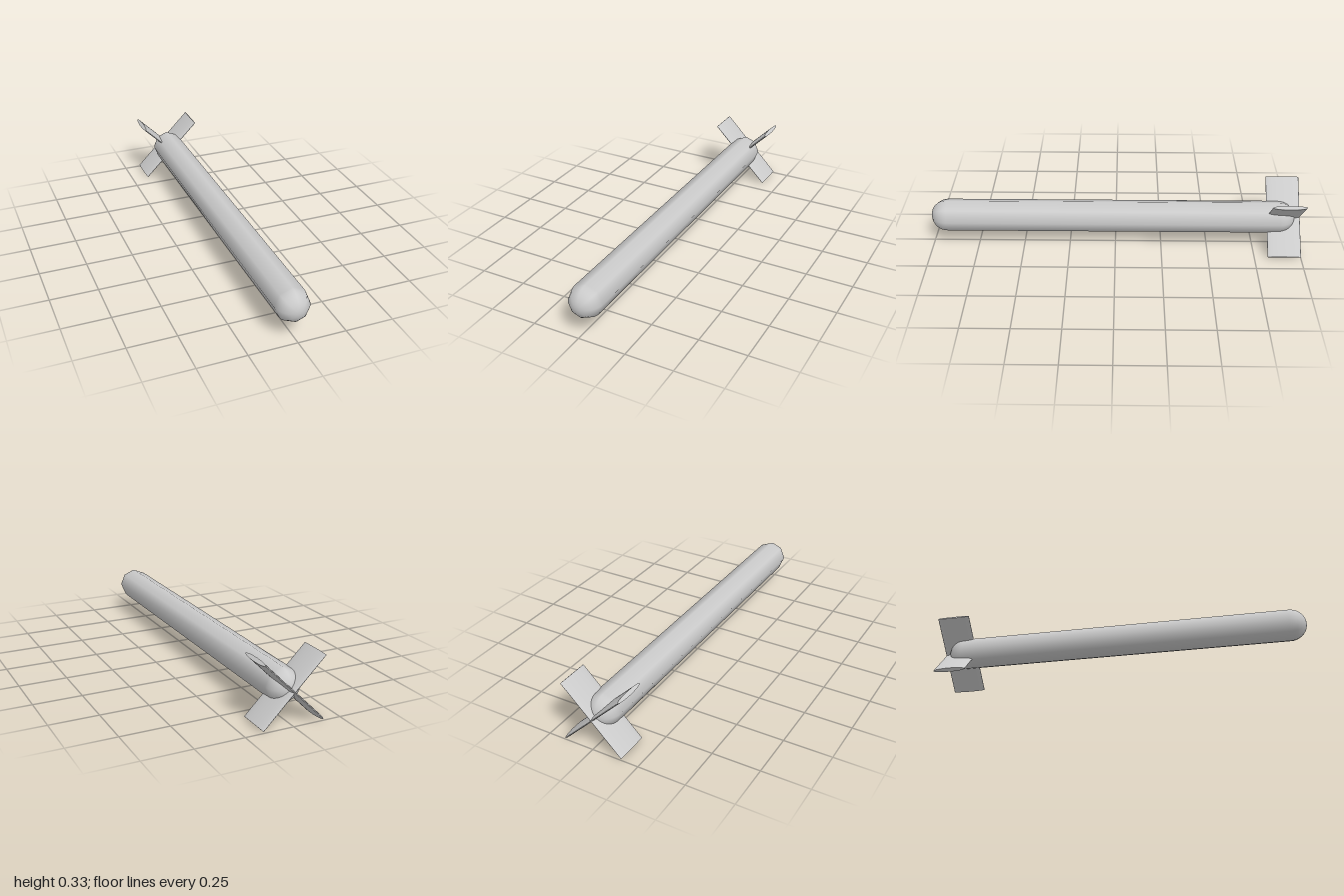
import * as THREE from 'three';

const AXIS_Y = 0.168;      // height of the body's centre line
const BODY_RADIUS = 0.088;
const NOSE_Z = 1, TAIL_Z = -0.97;
const FIN_Z = -0.91, FIN_CHORD = 0.18, FIN_THICKNESS = 0.022, FIN_SPAN = 0.446;

export function createModel() {
  const group = new THREE.Group();
  const material = new THREE.MeshStandardMaterial({ color: 0xcccccc });

  // Eight-sided body with rounded nose and tail
  const straight = NOSE_Z - TAIL_Z - 2 * BODY_RADIUS;
  const bodyGeometry = new THREE.CapsuleGeometry(BODY_RADIUS, straight, 10, 8);
  bodyGeometry.rotateX(Math.PI / 2);
  const body = new THREE.Mesh(bodyGeometry, material);
  body.name = 'body';
  body.position.set(0, AXIS_Y, (NOSE_Z + TAIL_Z) / 2);
  group.add(body);

  // Two flattened cylinders crossing through the tail form the four fins
  const finGeometry = new THREE.CylinderGeometry(0.5, 0.5, FIN_SPAN, 32);
  finGeometry.scale(FIN_THICKNESS, 1, FIN_CHORD);
  for (const side of [1, -1]) {
    const fin = new THREE.Mesh(finGeometry, material);
    fin.name = side > 0 ? 'tailFinPairA' : 'tailFinPairB';
    fin.position.set(0, AXIS_Y, FIN_Z);
    fin.rotation.z = side * Math.PI / 4;
    group.add(fin);
  }

  return group;
}
